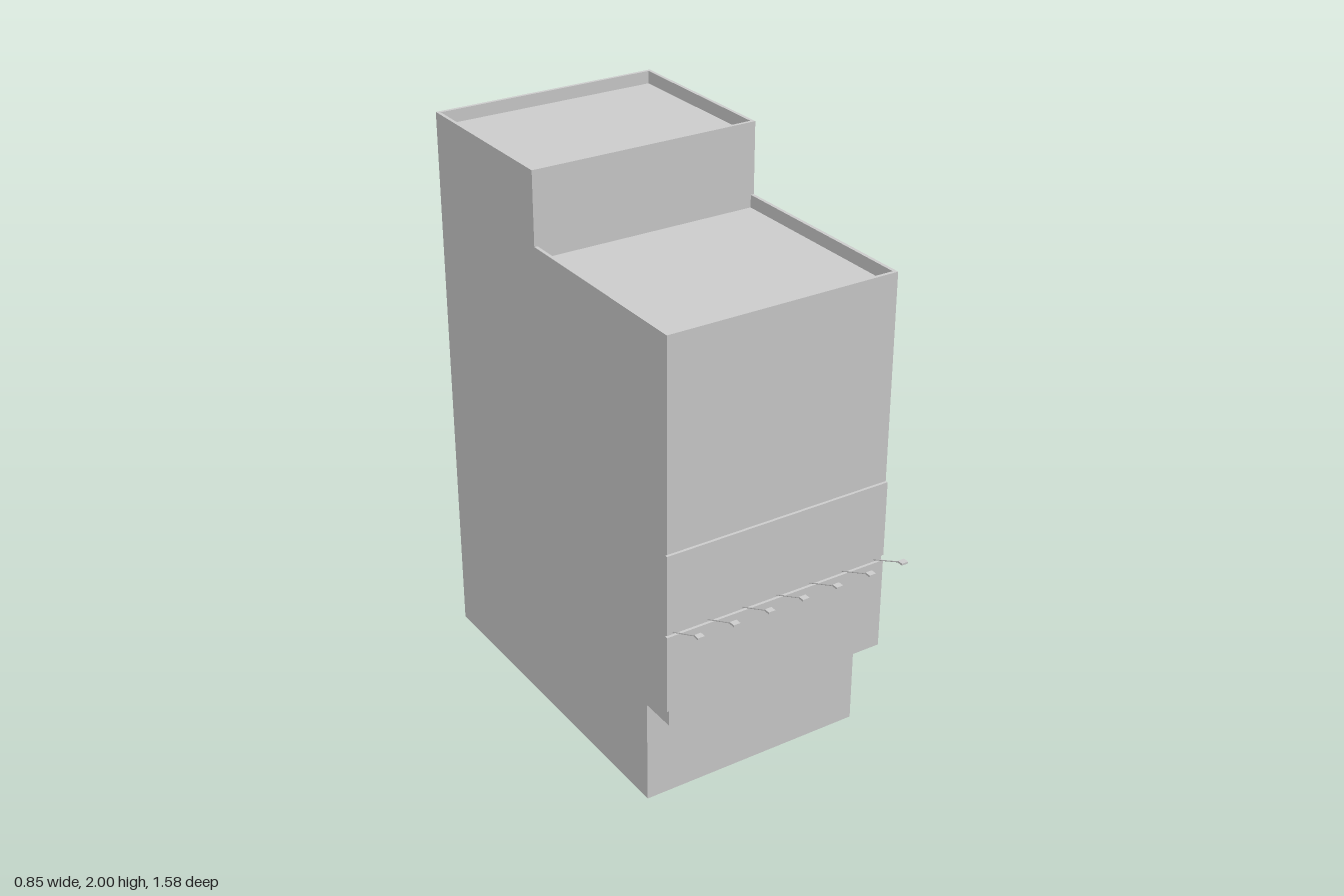
import * as THREE from 'three';

export function createModel() {
  const model = new THREE.Group();
  const mat = new THREE.MeshStandardMaterial({ color: 0xcccccc, flatShading: true });
  const W = 0.42, T = 0.012;              // half width, wall thickness
  const back = -0.79, front = 0.63, base = 0.51, step = -0.14;
  const ledge = 0.38, lowTop = 1.745, top = 2, parapet = 0.045;

  function add(name, geometry) {
    const mesh = new THREE.Mesh(geometry, mat);
    mesh.name = name;
    model.add(mesh);
    return mesh;
  }
  // Box given by its extents
  function box(name, x0, x1, y0, y1, z0, z1) {
    const mesh = add(name, new THREE.BoxGeometry(x1 - x0, y1 - y0, z1 - z0));
    mesh.position.set((x0 + x1) / 2, (y0 + y1) / 2, (z0 + z1) / 2);
    return mesh;
  }

  // Stepped side walls, drawn as a (z, y) profile
  const profile = new THREE.Shape([
    [back, 0], [base, 0], [base, ledge], [front, ledge], [front, lowTop],
    [step, lowTop], [step, top], [back, top],
  ].map(([z, y]) => new THREE.Vector2(z, y)));
  for (const [name, x] of [['leftWall', W], ['rightWall', -W + T]]) {
    const g = new THREE.ExtrudeGeometry(profile, { depth: T, bevelEnabled: false });
    g.rotateY(-Math.PI / 2);
    add(name, g).position.x = x;
  }

  // Back wall with two small vent openings
  const inner = W - T;
  const backShape = new THREE.Shape([
    [-inner, 0], [inner, 0], [inner, top], [-inner, top],
  ].map(([x, y]) => new THREE.Vector2(x, y)));
  const vents = [[-0.17, -0.096], [-0.33, -0.253]];
  for (const [x0, x1] of vents) {
    backShape.holes.push(new THREE.Path([
      [x0, 0.245], [x0, 0.28], [x1, 0.28], [x1, 0.245],
    ].map(([x, y]) => new THREE.Vector2(x, y))));
    box('ventPanel', x0 - 0.005, x1 + 0.005, 0.24, 0.285, back + T, back + T + 0.004);
  }
  add('backWall', new THREE.ExtrudeGeometry(backShape, { depth: T, bevelEnabled: false }))
    .position.z = back;

  // Front walls and the soffit of the overhang; the base stays open underneath
  box('baseFrontWall', -inner, inner, 0, ledge, base - T, base);
  box('soffit', -inner, inner, ledge, ledge + 0.01, base - 0.06, front - T);
  box('frontWall', -inner, inner, ledge, lowTop, front - T, front);
  box('upperFrontWall', -inner, inner, lowTop - parapet - 0.01, top, step - T, step);

  // Roofs sunk behind the parapets
  box('lowerRoof', -inner, inner, lowTop - parapet - 0.01, lowTop - parapet, step, front - T);
  box('upperRoof', -inner, inner, top - parapet - 0.01, top - parapet, back + T, step - T);

  // Sign panels across the front, reaching slightly past the right corner
  box('lowerSignPanel', -W, W, ledge, 0.715, front, front + 0.01);
  box('lowerSignEdge', -W - 0.006, -W, 0.435, 0.715, front - 0.002, front + 0.01);
  box('upperSignPanel', -W - 0.006, W, 0.735, 1.01, front, front + 0.01);

  // Row of sign lamps on slanted arms
  const foot = new THREE.Vector3(0, 0.722, front), tip = new THREE.Vector3(0, 0.788, 0.775);
  const armGeometry = new THREE.CylinderGeometry(0.002, 0.002, foot.distanceTo(tip), 6);
  armGeometry.rotateX(Math.atan2(tip.z - foot.z, tip.y - foot.y));
  const headGeometry = new THREE.BoxGeometry(0.025, 0.007, 0.022);
  for (let i = 0; i < 7; i++) {
    const lamp = new THREE.Group();
    lamp.name = 'signLamp';
    const arm = new THREE.Mesh(armGeometry, mat);
    arm.name = 'lampArm';
    arm.position.copy(foot).add(tip).multiplyScalar(0.5);
    const head = new THREE.Mesh(headGeometry, mat);
    head.name = 'lampHead';
    head.position.set(0, 0.79, 0.778);
    lamp.add(arm, head);
    lamp.position.x = -0.398 + i * 0.131;
    model.add(lamp);
  }
  return model;
}
